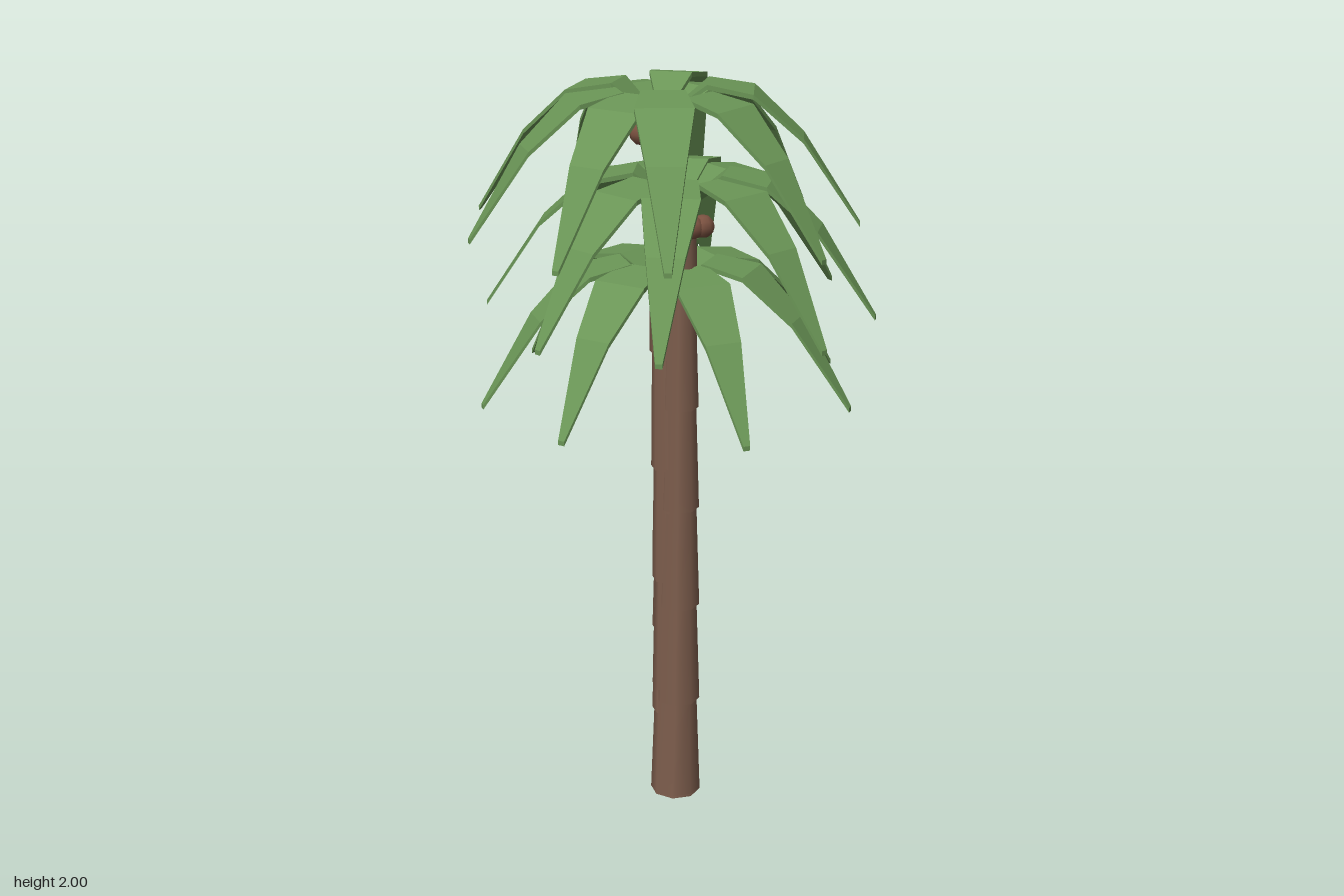
import * as THREE from 'three';

const bark = new THREE.MeshStandardMaterial({ color: 0x7f5f4e });
bark.name = 'bark brown';
const leaf = new THREE.MeshStandardMaterial({ color: 0x6a9556 });
leaf.name = 'leaf green';
const husk = new THREE.MeshStandardMaterial({ color: 0x7a5140 });
husk.name = 'coconut brown';

// Three stems from one root; frond angles run from +x towards +z
const palms = [
  { x: -0.025, z: 0, top: 2.0, stagger: 0.028, fronds: [-3.5, 42, 77, 127, 159, 202, 237.5, 279.5, 320],
    nuts: [[-0.05, 0.02], [-0.005, 0.055], [-0.04, -0.035]] },
  { x: 0, z: 0.045, top: 1.78, stagger: 0.01, fronds: [2, 50, 85, 135, 173, 224, 272, 317],
    nuts: [[-0.045, 0.05], [0.01, 0.075], [-0.02, 0.07]] },
  { x: 0.03, z: -0.045, top: 1.535, stagger: 0.01, fronds: [10, 60, 106, 160.5, 201.5, 261, 311], nuts: [] },
];
const ROOT = { x: 0.033, z: -0.018 };

// Frond: a thin bent blade lofted along +x; rows are [reach, height, half width]
function frondGeometry() {
  const rows = [[0.03, -0.075, 0.018], [0.115, -0.006, 0.055], [0.23, -0.026, 0.073],
    [0.355, -0.14, 0.048], [0.5, -0.36, 0.009]];
  const t = 0.006;
  const pos = [], idx = [];
  rows.forEach(([x, y, w], i) => {
    pos.push(x, y + t, -w, x, y + t, w, x, y - t, w, x, y - t, -w);
    if (i === rows.length - 1) return;
    for (let j = 0; j < 4; j++) {
      const a = i * 4 + j, b = i * 4 + (j + 1) % 4;
      idx.push(a, b, b + 4, a, b + 4, a + 4);
    }
  });
  const e = (rows.length - 1) * 4;
  idx.push(0, 3, 2, 0, 2, 1, e, e + 1, e + 2, e, e + 2, e + 3);
  const g = new THREE.BufferGeometry();
  g.setAttribute('position', new THREE.Float32BufferAttribute(pos, 3));
  g.setIndex(idx);
  const flat = g.toNonIndexed();
  flat.computeVertexNormals();
  return flat;
}

// Trunk: six flared rings, each overlapping the one below
function makeTrunk(p) {
  const trunk = new THREE.Group();
  trunk.name = 'trunk';
  const n = 6, height = p.top - 0.07;
  const at = (t) => new THREE.Vector3(
    ROOT.x + (p.x - ROOT.x) * Math.pow(t, 1.3),
    0.004 + height * t,
    ROOT.z + (p.z - ROOT.z) * Math.pow(t, 0.9));
  const radius = (t) => 0.063 - 0.024 * Math.pow(t, 0.7);
  for (let i = 0; i < n; i++) {
    const a = at(i / n), b = at((i + 1) / n);
    const dir = b.clone().sub(a);
    const ring = new THREE.Mesh(
      new THREE.CylinderGeometry(radius((i + 1) / n) * 0.94, radius(i / n) * 1.08, dir.length() + 0.004, 8), bark);
    ring.name = 'trunkRing';
    ring.position.copy(a).add(b).multiplyScalar(0.5);
    ring.quaternion.setFromUnitVectors(new THREE.Vector3(0, 1, 0), dir.normalize());
    trunk.add(ring);
  }
  return trunk;
}

export function createModel() {
  const model = new THREE.Group();
  model.name = 'palmTree';
  const blade = frondGeometry();
  const budGeo = new THREE.SphereGeometry(0.045, 8, 6);
  const nutGeo = new THREE.SphereGeometry(0.03, 8, 6);

  for (const p of palms) {
    const palm = new THREE.Group();
    palm.name = 'palm';
    palm.add(makeTrunk(p));

    // Crown of drooping fronds around a round bud; the diagonal fronds sit highest
    const crown = new THREE.Group();
    crown.name = 'crown';
    crown.position.set(p.x, p.top, p.z);
    const bud = new THREE.Mesh(budGeo, leaf);
    bud.name = 'bud';
    bud.position.y = -0.075;
    crown.add(bud);
    for (const deg of p.fronds) {
      const angle = THREE.MathUtils.degToRad(deg);
      const frond = new THREE.Mesh(blade, leaf);
      frond.name = 'frond';
      frond.rotation.y = -angle;
      frond.position.y = -p.stagger * Math.cos(2 * angle) ** 2;
      crown.add(frond);
    }
    // Coconuts under the fronds
    for (const [x, z] of p.nuts) {
      const nut = new THREE.Mesh(nutGeo, husk);
      nut.name = 'coconut';
      nut.position.set(x, -0.135, z);
      crown.add(nut);
    }
    palm.add(crown);
    model.add(palm);
  }
  return model;
}
